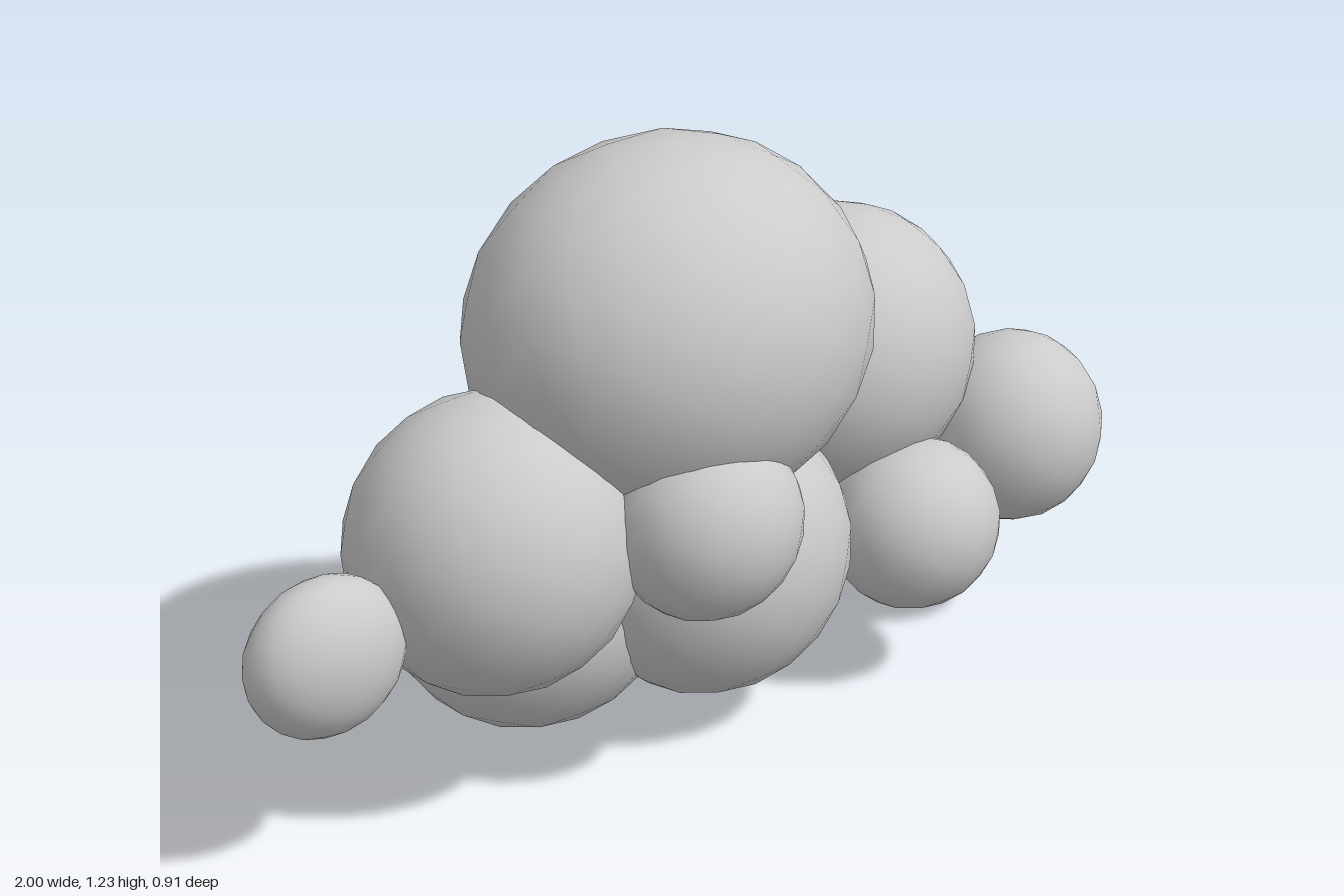
import * as THREE from 'three';

// Each puff: name, centre [x, y, z], radii [x, y, z]
const PUFFS = [
  ['crownPuff', [-0.03, 0.865, 0.055], [0.41, 0.365, 0.365]],
  ['upperLeftPuff', [0.495, 0.64, -0.04], [0.3, 0.295, 0.275]],
  ['leftTipPuff', [0.81, 0.44, 0.165], [0.19, 0.2, 0.187]],
  ['lowerLeftPuff', [0.49, 0.335, 0.205], [0.18, 0.175, 0.17]],
  ['bellyPuff', [0.085, 0.355, 0.04], [0.295, 0.295, 0.27]],
  ['lowerBackPuff', [-0.195, 0.287, -0.175], [0.3, 0.287, 0.282]],
  ['rightPuff', [-0.435, 0.53, 0.025], [0.29, 0.29, 0.275]],
  ['rightTipPuff', [-0.835, 0.438, 0.035], [0.165, 0.154, 0.106]],
  ['frontPuff', [-0.135, 0.57, 0.275], [0.19, 0.19, 0.178]],
];

export function createModel() {
  const cloud = new THREE.Group();
  cloud.name = 'cloud';
  const material = new THREE.MeshStandardMaterial({ color: 0xcccccc });

  // Smooth, low-poly ellipsoids overlapping into one cloud
  for (const [name, centre, radii] of PUFFS) {
    const puff = new THREE.Mesh(new THREE.IcosahedronGeometry(1, 3), material);
    puff.name = name;
    puff.position.set(...centre);
    puff.scale.set(...radii);
    cloud.add(puff);
  }
  return cloud;
}
